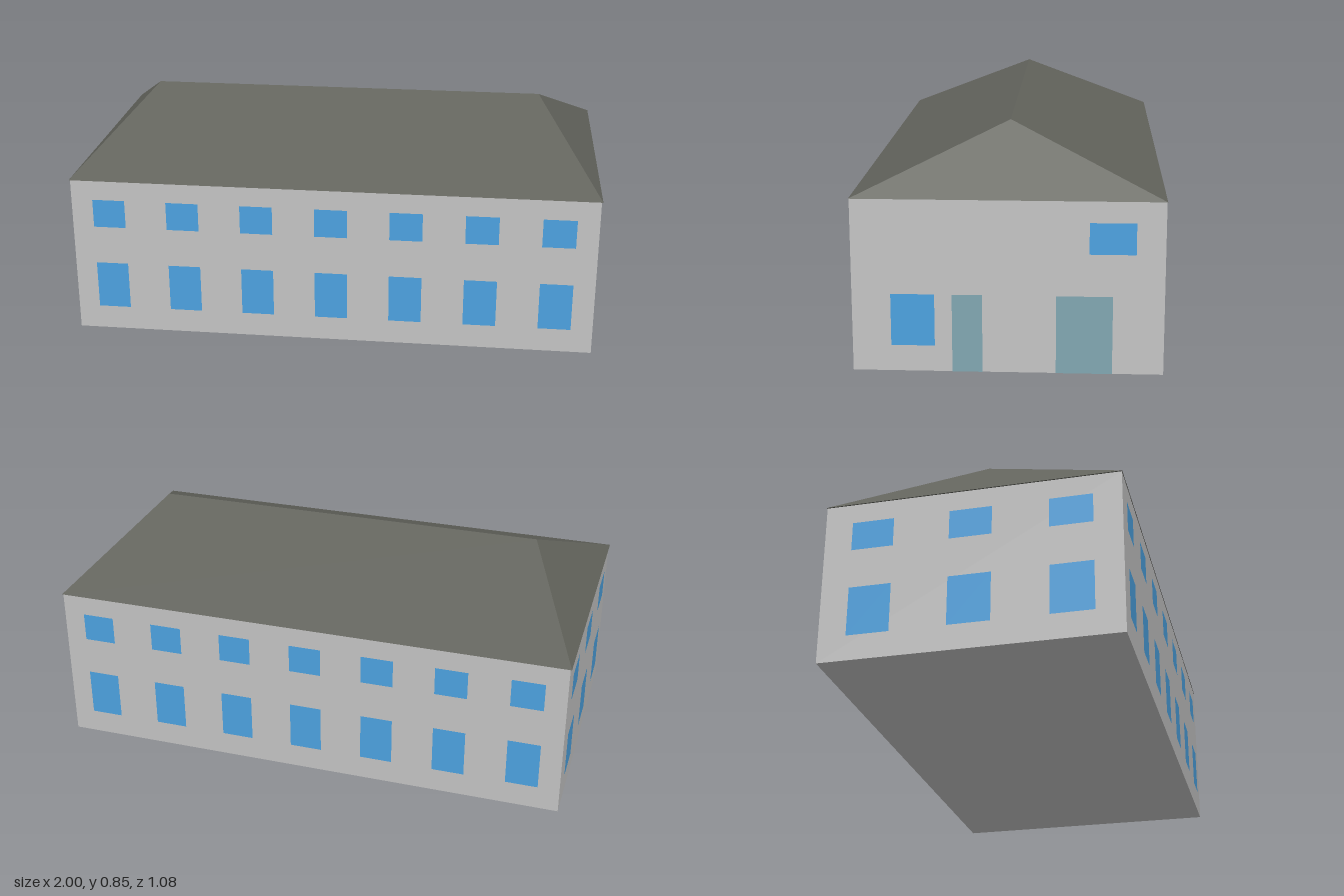
import * as THREE from 'three';

const W = 0.995, D = 0.54, EAVE = 0.617;      // wall half width, half depth, height
const RIDGE_X = 0.765, RIDGE_Y = 0.853, GAP = 0.002;

const mat = (name, color, side = THREE.FrontSide) => {
  const m = new THREE.MeshStandardMaterial({ color, side });
  m.name = name;
  return m;
};

// Hipped roof: four slopes and a flat soffit, as separate flat faces
function roofGeometry() {
  const x = 1, z = 0.542;
  const a = [-x, EAVE, z], b = [x, EAVE, z], c = [x, EAVE, -z], d = [-x, EAVE, -z];
  const l = [-RIDGE_X, RIDGE_Y, 0], r = [RIDGE_X, RIDGE_Y, 0];
  const tris = [
    a, b, r, a, r, l,   // front slope
    c, d, l, c, l, r,   // back slope
    b, c, r, d, a, l,   // hip ends
    a, d, c, a, c, b,   // soffit
  ];
  const g = new THREE.BufferGeometry();
  g.setAttribute('position', new THREE.Float32BufferAttribute(tris.flat(), 3));
  g.computeVertexNormals();
  return g;
}

export function createModel() {
  const house = new THREE.Group();
  house.name = 'house';
  const wallMat = mat('wallGrey', 0xc4c4c4);
  const roofMat = mat('roofGrey', 0x62635c);
  const glassMat = mat('windowBlue', 0x4ca2e0);
  const doorMat = mat('doorTeal', 0x81a7b1);

  const walls = new THREE.Mesh(new THREE.BoxGeometry(2 * W, EAVE, 2 * D), wallMat);
  walls.name = 'walls';
  walls.position.y = EAVE / 2;
  house.add(walls);

  const roof = new THREE.Mesh(roofGeometry(), roofMat);
  roof.name = 'roof';
  house.add(roof);

  // One wall side: a pivot turned about y, with panels laid on its +z face
  const side = (name, angle, dist) => {
    const s = new THREE.Group();
    s.name = name;
    s.rotation.y = angle;
    house.add(s);
    return (part, material, u, width, y0, y1) => {
      const p = new THREE.Mesh(new THREE.PlaneGeometry(width, y1 - y0), material);
      p.name = part;
      p.position.set(u, (y0 + y1) / 2, dist + GAP);
      s.add(p);
    };
  };
  const LOW = [0.094, 0.28], HIGH = [0.43, 0.541];

  // Long facades: two rows of seven windows
  for (const [name, angle] of [['frontFacade', 0], ['backFacade', Math.PI]]) {
    const panel = side(name, angle, D);
    for (let i = -3; i <= 3; i++) {
      panel('lowerWindow', glassMat, i * 0.2837, 0.124, ...LOW);
      panel('upperWindow', glassMat, i * 0.2837, 0.124, ...HIGH);
    }
  }

  // Left end: two rows of three windows
  const rightless = side('windowEnd', -Math.PI / 2, W);
  for (const u of [-0.36, 0, 0.36]) {
    rightless('lowerWindow', glassMat, u, 0.155, ...LOW);
    rightless('upperWindow', glassMat, u, 0.155, ...HIGH);
  }

  // Entrance end (+x): u runs toward -z
  const entrance = side('entranceEnd', Math.PI / 2, W);
  entrance('lowerWindow', glassMat, -0.329, 0.152, ...LOW);
  entrance('upperWindow', glassMat, 0.36, 0.16, ...HIGH);
  entrance('narrowDoor', doorMat, -0.14, 0.105, 0, 0.28);
  entrance('wideDoor', doorMat, 0.265, 0.195, 0, 0.28);

  return house;
}
